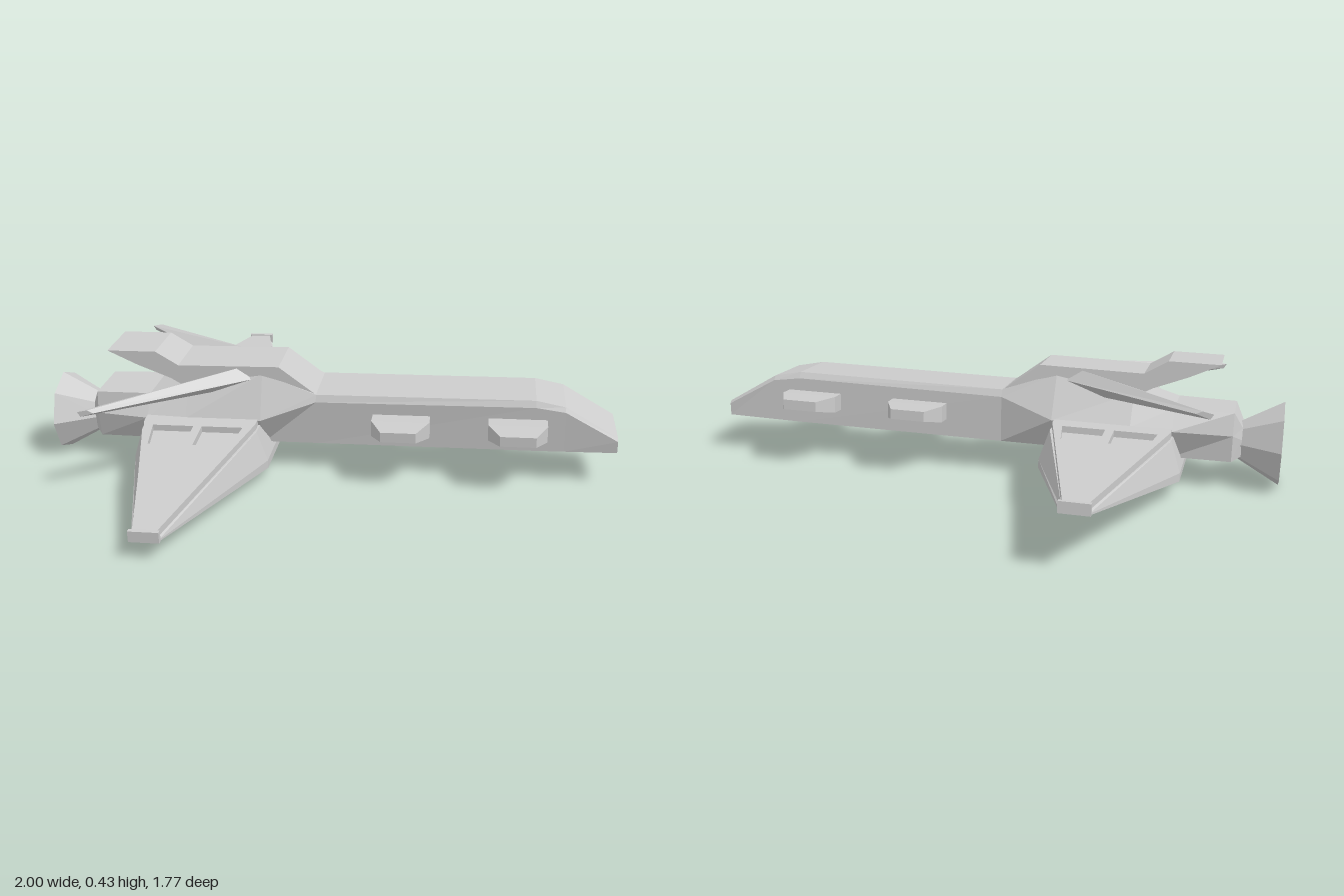
import * as THREE from 'three';

const material = new THREE.MeshStandardMaterial({ color: 0xcccccc, flatShading: true, side: THREE.DoubleSide });

function addMesh(parent, name, geometry) {
  const mesh = new THREE.Mesh(geometry, material);
  mesh.name = name;
  parent.add(mesh);
  return mesh;
}

// Joins equal-sized rings of [x, y, z] corners into a closed solid facing outward.
function loft(rings) {
  const n = rings[0].length;
  const tris = [];
  for (let i = 0; i < rings.length - 1; i++) {
    for (let j = 0; j < n; j++) {
      const k = (j + 1) % n;
      const a = rings[i][j], b = rings[i][k], c = rings[i + 1][k], d = rings[i + 1][j];
      tris.push([a, b, c], [a, c, d]);
    }
  }
  const last = rings[rings.length - 1];
  for (let j = 1; j < n - 1; j++) {
    tris.push([rings[0][0], rings[0][j + 1], rings[0][j]], [last[0], last[j], last[j + 1]]);
  }
  // The sign of the volume tells whether the winding has to be reversed
  let volume = 0;
  for (const [a, b, c] of tris) {
    volume += new THREE.Vector3(...a).dot(new THREE.Vector3(...b).cross(new THREE.Vector3(...c)));
  }
  if (volume < 0) tris.forEach((t) => t.reverse());
  const geometry = new THREE.BufferGeometry();
  geometry.setAttribute('position', new THREE.Float32BufferAttribute(tris.flat(2), 3));
  geometry.computeVertexNormals();
  return geometry;
}

// Hull: six-sided sections [x, bottom y, shoulder y, top y, bottom, shoulder and top half widths]
function buildHull(parent) {
  const sections = [
    [-0.87, 0.12, 0.18, 0.22, 0.06, 0.07, 0.06],
    [-0.84, 0.108, 0.2, 0.278, 0.1, 0.112, 0.1],
    [-0.64, 0.108, 0.21, 0.28, 0.105, 0.165, 0.105],
    [-0.5, 0.108, 0.215, 0.32, 0.105, 0.17, 0.1],
    [-0.23, 0.108, 0.215, 0.365, 0.105, 0.17, 0.1],
    [-0.04, 0.108, 0.27, 0.295, 0.105, 0.118, 0.108],
    [0.72, 0.11, 0.275, 0.297, 0.108, 0.117, 0.106],
    [0.82, 0.111, 0.26, 0.276, 0.108, 0.116, 0.106],
    [1.0, 0.113, 0.157, 0.167, 0.108, 0.113, 0.106],
  ];
  addMesh(parent, 'hull', loft(sections.map(([x, yb, ym, yt, wb, wm, wt]) => [
    [x, yb, wb], [x, ym, wm], [x, yt, wt], [x, yt, -wt], [x, ym, -wm], [x, yb, -wb],
  ])));
}

// Raised deck with an overhanging tail, cut from its side outline
function buildDeck(parent) {
  const outline = [
    [-0.03, 0.285], [-0.17, 0.392], [-0.53, 0.389], [-0.61, 0.438], [-0.785, 0.438],
    [-0.68, 0.388], [-0.56, 0.34], [-0.46, 0.28],
  ].map(([x, y]) => new THREE.Vector2(x, y));
  const geometry = new THREE.ExtrudeGeometry(new THREE.Shape(outline), { depth: 0.206, bevelEnabled: false });
  geometry.translate(0, 0, -0.103);
  addMesh(parent, 'upperDeck', geometry);
}

const WING_X = -0.44;
const PLATE = 0.022;
const wingTopY = (z) => 0.217 - (z - 0.19) * 0.083;

// Wings: one body from tip to tip
function buildWings(parent) {
  const section = (z, base, top, yBottom, yEdge) => {
    const yTop = wingTopY(Math.abs(z)) - PLATE;
    return [
      [WING_X - base, yBottom, z], [WING_X - base, yEdge, z], [WING_X - top, yTop, z],
      [WING_X + top, yTop, z], [WING_X + base, yEdge, z], [WING_X + base, yBottom, z],
    ];
  };
  addMesh(parent, 'wingBody', loft([
    section(-0.88, 0.042, 0.036, 0.128, 0.133),
    section(-0.215, 0.24, 0.205, 0.056, 0.085),
    section(0.215, 0.24, 0.205, 0.056, 0.085),
    section(0.88, 0.042, 0.036, 0.128, 0.133),
  ]));

  // Top skin with two recessed bays, laid on the sloping wing
  for (const side of [1, -1]) {
    const shape = new THREE.Shape([
      [-0.2, 0.13], [0.2, 0.13], [0.2, 0.2], [0.036, 0.88], [-0.036, 0.88], [-0.2, 0.2],
    ].map(([x, z]) => new THREE.Vector2(WING_X + x, side * z)));
    for (const [inner, outer] of [[-0.015, -0.16], [0.015, 0.16]]) {
      shape.holes.push(new THREE.Path([
        [inner, 0.23], [outer, 0.23], [outer * 0.88, 0.36], [inner, 0.36],
      ].map(([x, z]) => new THREE.Vector2(WING_X + x, side * z))));
    }
    const geometry = new THREE.ExtrudeGeometry(shape, { depth: PLATE, bevelEnabled: false });
    geometry.rotateX(Math.PI / 2);
    const p = geometry.attributes.position;
    for (let i = 0; i < p.count; i++) p.setY(i, p.getY(i) + wingTopY(Math.abs(p.getZ(i))));
    geometry.computeVertexNormals();
    addMesh(parent, side > 0 ? 'leftWingSkin' : 'rightWingSkin', geometry);

    const cap = addMesh(parent, 'wingTipCap', new THREE.BoxGeometry(0.096, 0.036, 0.016));
    cap.position.set(WING_X, 0.146, side * 0.88);
  }
}

// Swept tail fins with diamond sections
function buildFins(parent) {
  for (const side of [1, -1]) {
    const z = side * 0.08, tip = side * 0.44;
    addMesh(parent, side > 0 ? 'leftFin' : 'rightFin', loft([
      [[-0.23, 0.345, z], [-0.29, 0.385, z], [-0.42, 0.34, z], [-0.36, 0.295, z]],
      [[-0.73, 0.342, tip], [-0.75, 0.352, tip], [-0.785, 0.345, tip], [-0.775, 0.328, tip]],
    ]));
  }
}

// Side pods: tapering blocks, two on each flank
function buildPods(parent) {
  const ring = (x, half, low, high, z) => [
    [x - half, low, z], [x + half, low, z], [x + half, high, z], [x - half, high, z],
  ];
  for (const x of [0.26, 0.66]) {
    for (const side of [1, -1]) {
      addMesh(parent, 'sidePod', loft([
        ring(x, 0.1, 0.17, 0.23, side * 0.09),
        ring(x, 0.1, 0.172, 0.23, side * 0.17),
        ring(x, 0.06, 0.19, 0.225, side * 0.255),
      ]));
    }
  }
}

// Engine bell: open eight-sided cone with a closed throat
function buildEngine(parent) {
  const profile = [[0, 0.03], [0.045, 0.03], [0.135, 0.155], [0.147, 0.155], [0.06, 0.0], [0, 0]]
    .map(([r, y]) => new THREE.Vector2(r, y));
  const bell = addMesh(parent, 'engineBell', new THREE.LatheGeometry(profile, 8));
  bell.rotation.z = Math.PI / 2;
  bell.position.set(-0.847, 0.163, 0);
}

export function createModel() {
  const model = new THREE.Group();
  model.name = 'spacecraft';
  // The craft rests slightly banked and pitched
  const craft = new THREE.Group();
  craft.name = 'craft';
  craft.rotation.set(0.073, 0, 0.015);
  craft.position.set(0.002, 0, -0.0095);
  model.add(craft);
  buildHull(craft);
  buildDeck(craft);
  buildWings(craft);
  buildFins(craft);
  buildPods(craft);
  buildEngine(craft);
  return model;
}
